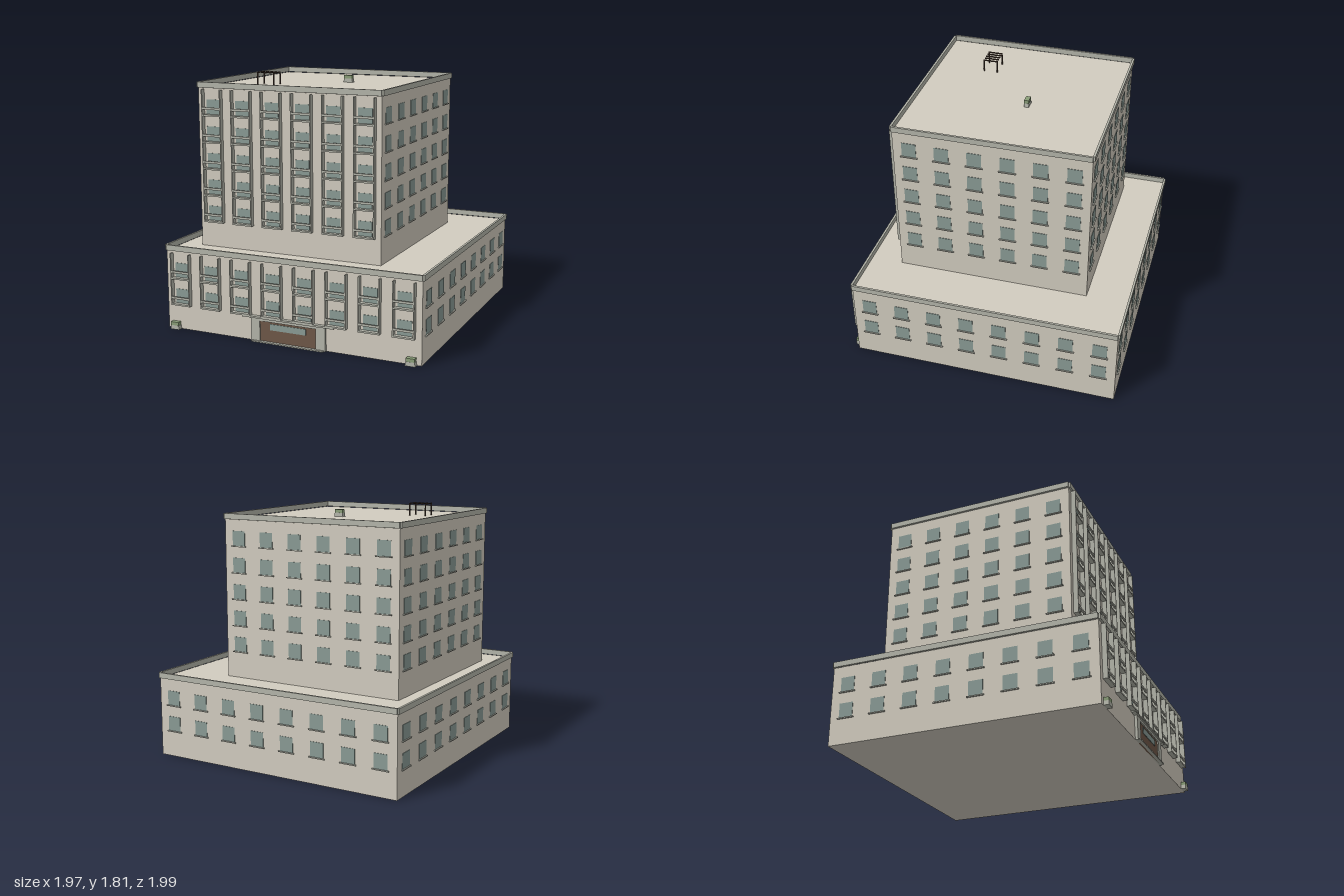
import * as THREE from 'three';

const mat = (color) => new THREE.MeshStandardMaterial({ color });
const wall = mat(0xd2ccbf), trim = mat(0xb4b5aa), glass = mat(0x8a9b95);
const wood = mat(0x6e5848), leaf = mat(0x8a9e78), metal = mat(0x4a3a30);

// Box given by its limits on each axis
function box(parent, name, material, [x0, x1], [y0, y1], [z0, z1]) {
  const mesh = new THREE.Mesh(new THREE.BoxGeometry(x1 - x0, y1 - y0, z1 - z0), material);
  mesh.position.set((x0 + x1) / 2, (y0 + y1) / 2, (z0 + z1) / 2);
  mesh.name = name;
  parent.add(mesh);
  return mesh;
}

// Window pane with an optional sill, on a facade whose outside is local +z
function addWindow(parent, x, y, withSill) {
  box(parent, 'window', glass, [x - 0.052, x + 0.052], [y, y + 0.108], [-0.004, 0.003]);
  if (withSill) box(parent, 'sill', trim, [x - 0.062, x + 0.062], [y - 0.006, y + 0.002], [-0.004, 0.011]);
}

// Stack of balconies between two upright fins
function addBalconies(parent, x, floors, top) {
  const depth = 0.034, half = 0.077, bottom = floors[0] - 0.009;
  for (const s of [-1, 1]) {
    const c = x + s * (half - 0.004);
    box(parent, 'balconyFin', trim, [c - 0.004, c + 0.004], [bottom, top], [0, depth]);
  }
  for (const y of floors) {
    box(parent, 'balconySlab', trim, [x - half, x + half], [y - 0.009, y + 0.003], [0, depth]);
    box(parent, 'balconyRail', trim, [x - half, x + half], [y + 0.038, y + 0.054], [depth - 0.01, depth]);
  }
}

// Square block with a parapet, windows on all sides and balconies in front
function block(name, size, cx, cz, y0, roof, bays, floors, finTop) {
  const g = new THREE.Group(), h = size / 2;
  g.name = name;
  g.position.set(cx, 0, cz);
  box(g, 'walls', wall, [-h, h], [y0, roof], [-h, h]);
  for (let side = 0; side < 4; side++) {
    const facade = new THREE.Group();
    facade.name = ['frontFacade', 'leftFacade', 'backFacade', 'rightFacade'][side];
    facade.rotation.y = side * Math.PI / 2;
    facade.position.set(Math.sin(facade.rotation.y) * h, 0, Math.cos(facade.rotation.y) * h);
    box(facade, 'parapet', trim, [-h, h], [roof + 0.002, roof + 0.042], [-0.003, 0.013]);
    for (let i = 0; i < bays; i++) {
      const x = (i + 0.5) * size / bays - h;
      for (const y of floors) addWindow(facade, x, y, side > 0);
      if (side === 0) addBalconies(facade, x, floors, finTop);
    }
    g.add(facade);
  }
  return g;
}

// Tapered tub with a clipped shrub
function planter(x, y, z) {
  const g = new THREE.Group();
  g.name = 'planter';
  const tub = box(g, 'planterTub', trim, [-0.036, 0.036], [0, 0.03], [-0.018, 0.018]);
  const p = tub.geometry.attributes.position;
  for (let i = 0; i < p.count; i++) if (p.getY(i) > 0) p.setX(i, p.getX(i) * 0.9);
  tub.geometry.computeVertexNormals();
  box(g, 'shrub', leaf, [-0.031, 0.031], [0.028, 0.054], [-0.017, 0.017]);
  g.position.set(x, y, z);
  return g;
}

function entrance(z) {
  const g = new THREE.Group();
  g.name = 'entrance';
  g.position.z = z;
  box(g, 'surroundTop', trim, [-0.285, 0.285], [0.153, 0.173], [0, 0.02]);
  for (const s of [-1, 1])
    box(g, 'surroundSide', trim, [s * 0.25 - 0.035, s * 0.25 + 0.035], [0, 0.155], [0, 0.02]);
  box(g, 'door', wood, [-0.216, 0.216], [0, 0.154], [0, 0.012]);
  box(g, 'doorGlass', glass, [-0.138, 0.138], [0.095, 0.139], [0, 0.016]);
  box(g, 'canopy', trim, [-0.35, 0.35], [0.172, 0.184], [0, 0.03]);
  box(g, 'step', trim, [-0.275, 0.275], [0, 0.009], [0, 0.035]);
  return g;
}

// Open roof frame: four posts carrying parallel bars
function pergola(roof) {
  const g = new THREE.Group(), r = 0.004;
  g.name = 'pergola';
  for (let i = 0; i < 5; i++) {
    const x = -0.535 + i * 0.0325;
    box(g, 'pergolaBar', metal, [x - r, x + r], [1.806, 1.814], [0.268, 0.376]);
    if (i % 4 === 0) for (const z of [0.272, 0.372])
      box(g, 'pergolaPost', metal, [x - r, x + r], [roof, 1.808], [z - r, z + r]);
  }
  return g;
}

export function createModel() {
  const model = new THREE.Group();
  model.name = 'building';
  const towerFloors = [0, 1, 2, 3, 4].map((i) => 0.766 + i * 0.192);
  model.add(block('podium', 1.944, 0, -0.008, 0, 0.575, 8, [0.19, 0.382], 0.562));
  model.add(block('tower', 1.404, -0.116, 0.028, 0.57, 1.722, 6, towerFloors, 1.714));
  model.add(entrance(0.964));
  for (const s of [-1, 1]) model.add(planter(s * 0.903, 0, 0.982));
  model.add(planter(-0.006, 1.72, -0.07));
  model.add(pergola(1.72));
  return model;
}
